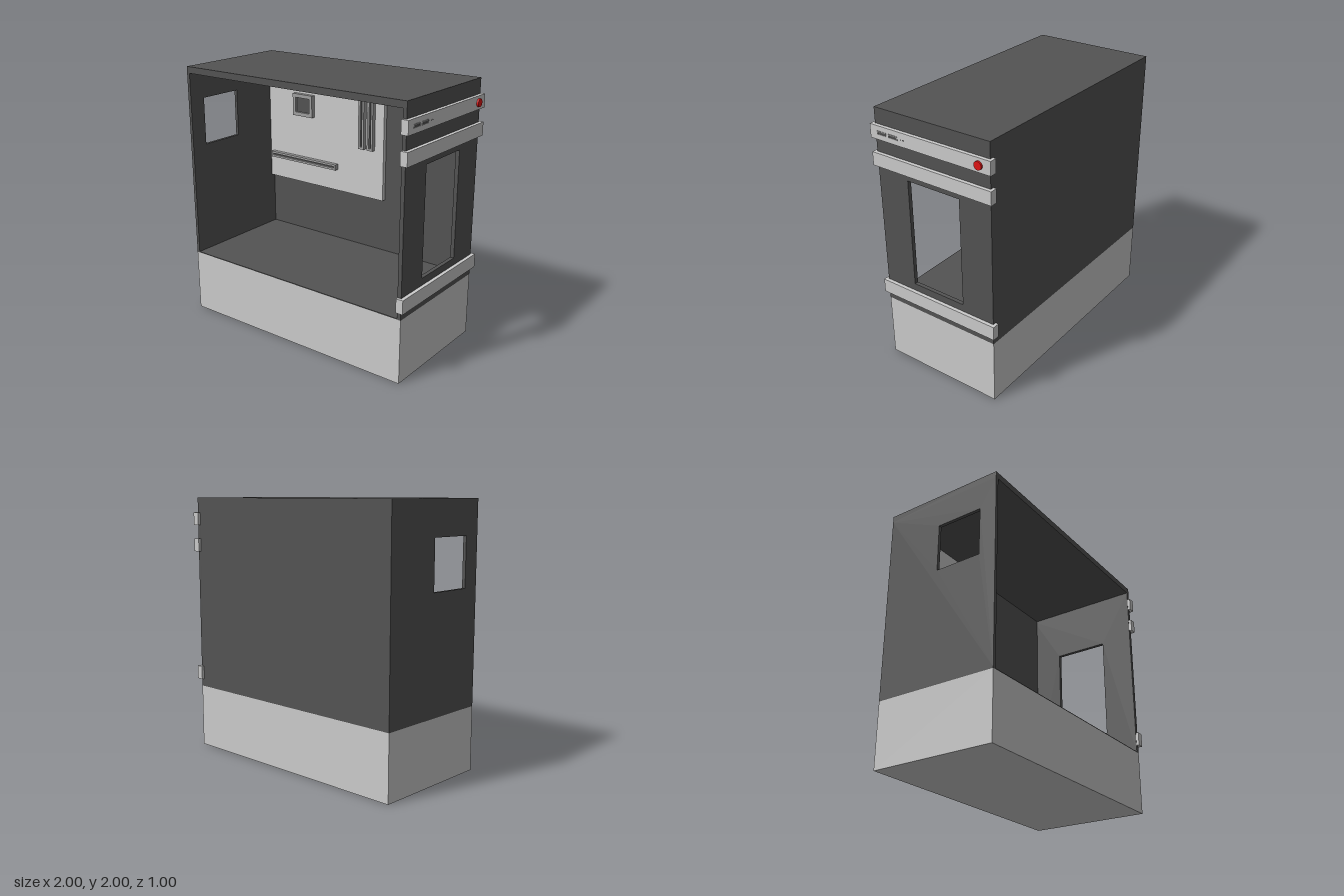
import * as THREE from 'three';

const mat = (color) => new THREE.MeshStandardMaterial({ color });

export function createModel() {
  const model = new THREE.Group();
  const light = mat(0xcccccc), dark = mat(0x535353), mid = mat(0xa0a0a0), red = mat(0xe01515);

  const add = (parent, name, geometry, material) => {
    const mesh = new THREE.Mesh(geometry, material);
    mesh.name = name;
    parent.add(mesh);
    return mesh;
  };
  // Box given by its minimum and maximum along each axis
  const box = (parent, name, material, [x0, x1], [y0, y1], [z0, z1]) =>
    add(parent, name, new THREE.BoxGeometry(x1 - x0, y1 - y0, z1 - z0), material)
      .position.set((x0 + x1) / 2, (y0 + y1) / 2, (z0 + z1) / 2);
  // Rectangular plate with a rectangular hole, extruded along +z
  const plate = ([a0, a1], [b0, b1], [c0, c1], [d0, d1], depth) => {
    const rect = (path, u0, u1, v0, v1) =>
      path.moveTo(u0, v0).lineTo(u1, v0).lineTo(u1, v1).lineTo(u0, v1).closePath();
    const shape = rect(new THREE.Shape(), a0, a1, b0, b1);
    shape.holes.push(rect(new THREE.Path(), c0, c1, d0, d1));
    return new THREE.ExtrudeGeometry(shape, { depth, bevelEnabled: false });
  };

  // Base
  box(model, 'base', light, [-1, 0.96], [0, 0.49], [-0.48, 0.48]);

  // Open-fronted case
  const shell = new THREE.Group();
  shell.name = 'case';
  model.add(shell);
  box(shell, 'floor', dark, [-1, 0.96], [0.49, 0.497], [-0.48, 0.48]);
  box(shell, 'roof', dark, [-1, 0.96], [1.95, 2], [-0.48, 0.48]);
  box(shell, 'backWall', dark, [-0.975, 0.93], [0.497, 1.95], [-0.48, -0.455]);

  // Side walls: the plate's x axis becomes -z after turning to face +x
  const sideWall = (name, x, thickness, holeZ, holeY) => {
    const wall = add(shell, name,
      plate([-0.48, 0.48], [0.497, 1.95], [-holeZ[1], -holeZ[0]], holeY, thickness), dark);
    wall.rotation.y = Math.PI / 2;
    wall.position.x = x;
  };
  sideWall('leftWall', 0.93, 0.03, [-0.22, 0.22], [0.71, 1.53]);
  sideWall('rightWall', -1, 0.025, [-0.02, 0.345], [1.37, 1.74]);

  // Raised bands across the outside of the left wall
  for (const [name, y0, y1] of [['lowerBand', 0.55, 0.655], ['middleBand', 1.58, 1.68], ['controlBand', 1.785, 1.885]])
    box(model, name, light, [0.932, 0.987], [y0, y1], [-0.502, 0.502]);

  // Controls: power button, two ports and two small lamps
  const button = add(model, 'powerButton', new THREE.CylinderGeometry(0.03, 0.03, 0.02, 32), red);
  button.rotation.z = -Math.PI / 2;
  button.position.set(0.99, 1.835, -0.41);
  for (const z of [0.4, 0.3]) {
    const frame = add(model, 'portFrame',
      plate([-0.04, 0.04], [-0.014, 0.014], [-0.034, 0.034], [-0.008, 0.008], 0.003), mid);
    frame.rotation.y = Math.PI / 2;
    frame.position.set(0.987, 1.835, z);
    box(model, 'port', dark, [0.98, 0.988], [1.827, 1.843], [z - 0.034, z + 0.034]);
  }
  for (const z of [0.23, 0.21]) {
    const lamp = add(model, 'indicator', new THREE.CylinderGeometry(0.005, 0.005, 0.006, 12), dark);
    lamp.rotation.z = -Math.PI / 2;
    lamp.position.set(0.986, 1.835, z);
  }

  // Circuit board with recessed slots and chip socket
  const boardFront = -0.42;
  box(model, 'circuitBoard', light, [-0.975, 0.19], [0.93, 1.95], [-0.456, boardFront]);
  const socket = (name, [x0, x1], [y0, y1], border, height) => {
    const inX = [x0 + border, x1 - border], inY = [y0 + border, y1 - border];
    add(model, name, plate([x0, x1], [y0, y1], inX, inY, height), mid).position.z = boardFront;
    box(model, name + 'Recess', dark, inX, inY, [boardFront - 0.005, boardFront + height * 0.5]);
  };
  socket('memorySlot', [-0.03, 0.022], [1.33, 1.9], 0.018, 0.035);
  socket('memorySlot', [0.055, 0.107], [1.33, 1.9], 0.018, 0.035);
  socket('expansionSlot', [-0.94, -0.255], [1.107, 1.155], 0.017, 0.035);
  socket('chipSocket', [-0.695, -0.495], [1.508, 1.69], 0.03, 0.035);

  return model;
}
